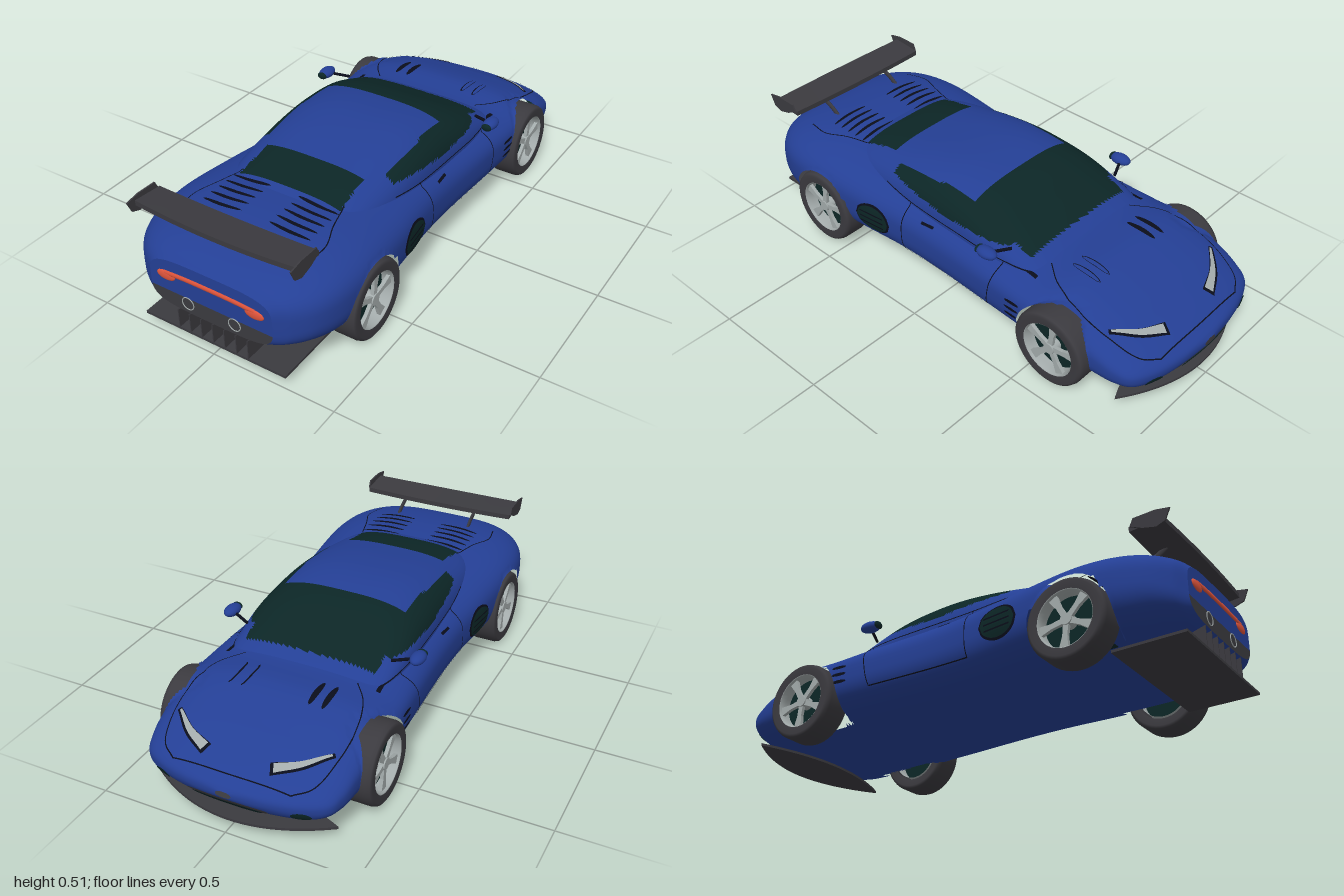
import * as THREE from 'three';

const mat = (name, color, side = THREE.FrontSide) => {
  const m = new THREE.MeshStandardMaterial({ color, side });
  m.name = name;
  return m;
};

// Smooth interpolation through a table of stations whose first column is z
function station(table, z) {
  let i = 0;
  while (i < table.length - 2 && z > table[i + 1][0]) i++;
  const a = table[i], b = table[i + 1], h = b[0] - a[0];
  const t = THREE.MathUtils.clamp((z - a[0]) / h, 0, 1), p = table[i - 1] || a, q = table[i + 2] || b;
  return a.slice(1).map((v, k) => {
    k++;
    const m0 = h * (b[k] - p[k]) / (b[0] - p[0]), m1 = h * (q[k] - a[k]) / (q[0] - a[0]);
    const t2 = t * t, t3 = t2 * t;
    return (2 * t3 - 3 * t2 + 1) * v + (t3 - 2 * t2 + t) * m0 + (3 * t2 - 2 * t3) * b[k] + (t3 - t2) * m1;
  });
}

// z, half width, top, bottom, height of widest point, squareness
const BODY = [
  [-0.998, 0.03, 0.175, 0.15, 0.162, 2.2], [-0.985, 0.15, 0.19, 0.13, 0.16, 2.2],
  [-0.96, 0.26, 0.205, 0.1, 0.16, 2.3], [-0.92, 0.345, 0.228, 0.075, 0.16, 2.4],
  [-0.86, 0.378, 0.258, 0.063, 0.17, 2.6], [-0.78, 0.392, 0.295, 0.06, 0.19, 2.8],
  [-0.6, 0.408, 0.352, 0.06, 0.22, 2.9], [-0.45, 0.408, 0.352, 0.06, 0.23, 2.9],
  [-0.3, 0.4, 0.365, 0.06, 0.23, 2.9], [0, 0.386, 0.385, 0.06, 0.23, 2.8],
  [0.2, 0.39, 0.395, 0.06, 0.24, 2.8], [0.4, 0.41, 0.408, 0.06, 0.25, 2.8],
  [0.6, 0.424, 0.421, 0.06, 0.26, 2.8], [0.72, 0.422, 0.42, 0.062, 0.26, 2.8],
  [0.82, 0.405, 0.408, 0.073, 0.255, 2.9], [0.9, 0.37, 0.39, 0.095, 0.25, 3],
  [0.96, 0.315, 0.365, 0.118, 0.24, 3.4], [0.993, 0.26, 0.338, 0.135, 0.235, 4],
];
const CABIN = [
  [-0.47, 0.29, 0.335, 0.29, 0.3, 3], [-0.4, 0.32, 0.372, 0.29, 0.3, 3], [-0.3, 0.335, 0.42, 0.29, 0.3, 3],
  [-0.2, 0.34, 0.463, 0.29, 0.3, 3], [-0.1, 0.338, 0.489, 0.29, 0.3, 3], [0.05, 0.335, 0.502, 0.29, 0.3, 3],
  [0.2, 0.33, 0.491, 0.29, 0.3, 3], [0.35, 0.32, 0.466, 0.29, 0.3, 3], [0.5, 0.3, 0.437, 0.29, 0.3, 3],
  [0.62, 0.26, 0.405, 0.29, 0.3, 3],
];
const WHEEL_Z = [-0.6, 0.61], WHEEL_Y = 0.155, ARCH = 0.165, SEG = 96;

function section(table, z) {
  const [w, top, bot, mid, n] = station(table, z), pts = [];
  for (let j = 0; j < SEG; j++) {
    const a = (j / SEG) * Math.PI * 2, c = Math.cos(a), s = Math.sin(a);
    const x = w * Math.sign(c) * Math.abs(c) ** (2 / n), y = Math.abs(s) ** (2 / n);
    pts.push([x, s >= 0 ? mid + (top - mid) * y : mid - (mid - bot) * y]);
  }
  return pts;
}

// Loft the sections; pick(centroid) returns a material index, or -1 to leave a hole
function loft(table, zs, pick, tweak = () => {}) {
  const v = [], p = new THREE.Vector3();
  for (const z of zs) for (const [x, y] of section(table, z)) {
    tweak(p.set(x, y, z));
    v.push(p.x, p.y, p.z);
  }
  const faces = [[], []];
  const add = (...t) => {
    const m = [0, 1, 2].map(k => t.reduce((s, i) => s + v[i * 3 + k], 0) / 3), g = pick(...m);
    if (g >= 0) faces[g].push(...t);
  };
  for (let i = 0; i < zs.length - 1; i++) for (let j = 0; j < SEG; j++) {
    const a = i * SEG + j, b = i * SEG + (j + 1) % SEG;
    add(a, b, a + SEG);
    add(b, b + SEG, a + SEG);
  }
  const g = new THREE.BufferGeometry();
  g.setAttribute('position', new THREE.Float32BufferAttribute(v, 3));
  g.setIndex(faces.flat());
  g.computeVertexNormals();
  g.addGroup(0, faces[0].length, 0);
  g.addGroup(faces[0].length, faces[1].length, 1);
  return g;
}

export function createModel() {
  const paint = mat('bluePaint', 0x243f95), glass = mat('darkGlass', 0x0c2626, THREE.DoubleSide);
  const dark = mat('darkGrey', 0x3b3a3f, THREE.DoubleSide), metal = mat('lightMetal', 0xa3abab, THREE.DoubleSide);
  const red = mat('redLamp', 0xe0553c), seam = mat('seamBlack', 0x0a0d1a, THREE.DoubleSide);
  const car = new THREE.Group();
  const add = (name, geo, material, x = 0, y = 0, z = 0, parent = car) => {
    const m = new THREE.Mesh(geo, material);
    m.name = name;
    m.position.set(x, y, z);
    parent.add(m);
    return m;
  };
  const range = (n, f) => Array.from({ length: n + 1 }, (_, i) => f(i / n));

  // Body shell with open wheel arches
  const archDist = (x, y, z) => Math.abs(x) < 0.26 ? 9 : Math.min(...WHEEL_Z.map(c => Math.hypot(z - c, y - WHEEL_Y)));
  const body = add('body', loft(BODY, range(230, t => -0.998 * Math.cos(Math.PI * t) - 0.005 * t),
    (x, y, z) => archDist(x, y, z) < ARCH - 0.001 ? -1 : 0,
    p => {
      const d = archDist(p.x, p.y, p.z);
      if (d < ARCH - 0.01 || d > ARCH + 0.007) return;
      const c = WHEEL_Z[p.z > 0 ? 1 : 0], k = ARCH / d;
      p.z = c + (p.z - c) * k;
      p.y = WHEEL_Y + (p.y - WHEEL_Y) * k;
    }), [paint, paint]);

  // Cabin: windscreen, side windows and rear window
  const isGlass = (x, y, z) => {
    x = Math.abs(x);
    if (z > -0.39 && z < -0.1 && x < 0.27) return 1;
    if (z > 0.37 && z < 0.53 && x < 0.21 + (z - 0.37) * 0.06) return 1;
    return x > 0.255 && z > -0.31 && z < 0.3 && y > 0.383 + Math.max(0, z) * 0.1 && y < 0.47 - Math.max(0, z) * 0.1 ? 1 : 0;
  };
  const cabin = add('cabin', loft(CABIN, range(100, t => -0.47 + 1.09 * t), isGlass), [paint, glass]);

  // Thin patch laid onto the shell along a path; view gives the projection direction
  const ray = new THREE.Raycaster();
  const views = {
    top: (s, a, b) => [[a * s, 2, b], [0, -1, 0]],
    side: (s, a, b) => [[2 * s, b, a], [-s, 0, 0]],
    nose: (s, a, b) => [[a * s, b, -2], [0, 0, 1]],
  };
  function patch(name, view, s, path, half, material, lift = 0.003, across = 1) {
    const curve = new THREE.CatmullRomCurve3(path.map(([a, b]) => new THREE.Vector3(a, b, 0)));
    const n = Math.max(12, Math.ceil(curve.getLength() / 0.012)), v = [], idx = [];
    let last = [0, 0.2, 0];
    for (let i = 0; i <= n; i++) {
      const p = curve.getPointAt(i / n), t = curve.getTangentAt(i / n);
      const h = typeof half === 'function' ? half(i / n) : half;
      for (let j = 0; j <= across; j++) {
        const o = h * (2 * j / across - 1), [from, dir] = views[view](s, p.x - t.y * o, p.y + t.x * o);
        ray.set(new THREE.Vector3(...from), new THREE.Vector3(...dir));
        const hit = ray.intersectObjects([body, cabin])[0];
        if (hit) last = hit.point.addScaledVector(ray.ray.direction, -lift).toArray();
        v.push(...last);
        if (i < n && j < across) {
          const k = i * (across + 1) + j, m = k + across + 1;
          idx.push(k, k + 1, m, k + 1, m + 1, m);
        }
      }
    }
    const g = new THREE.BufferGeometry();
    g.setAttribute('position', new THREE.Float32BufferAttribute(v, 3));
    g.setIndex(idx);
    g.computeVertexNormals();
    add(name, g, material);
  }
  const oval = r => t => r * Math.sqrt(Math.max(0, 1 - (2 * t - 1) ** 2)) + 0.0005;

  // Tail panel: painted above, dark below, with lamps and exhausts
  for (const [name, material, lim] of [['tailPanel', paint, Math.max], ['rearValance', dark, Math.min]])
    add(name, new THREE.ShapeGeometry(new THREE.Shape(section(BODY, 0.993).map(([x, y]) => new THREE.Vector2(x, lim(y, 0.2))))),
      material, 0, 0, 0.993);
  const bar = new THREE.CatmullRomCurve3([[-0.19, 0.277], [-0.1, 0.282], [0.1, 0.282], [0.19, 0.277]].map(([x, y]) => new THREE.Vector3(x, y, 0)));
  add('tailLightBar', new THREE.TubeGeometry(bar, 24, 0.01, 8), red, 0, 0, 0.994).scale.z = 0.5;

  for (const s of [1, -1]) {
    add('tailLamp', new THREE.SphereGeometry(1, 24, 12), red, s * 0.188, 0.265, 0.993).scale.set(0.04, 0.02, 0.007);
    add('exhaust', new THREE.TorusGeometry(0.025, 0.002, 6, 32), metal, s * 0.1, 0.177, 0.994);

    // Doors, handles and side vents
    for (const l of [[[0.17, 0.355], [0.17, 0.15]], [[0.17, 0.15], [-0.28, 0.15]], [[-0.28, 0.15], [-0.31, 0.34]],
      [[0.32, 0.375], [0.17, 0.357], [-0.1, 0.347], [-0.31, 0.34], [-0.45, 0.33]]])
      patch('doorSeam', 'side', s, l, 0.002, seam);
    patch('doorHandle', 'side', s, [[0.085, 0.32], [0.025, 0.322]], 0.004, seam, 0.005);
    patch('sideVentRim', 'side', s, [[0.408, 0.235], [0.236, 0.235]], oval(0.064), seam, 0.002, 8);
    patch('sideVent', 'side', s, [[0.4, 0.235], [0.244, 0.235]], oval(0.056), glass, 0.005, 8);
    for (let k = -1; k <= 1; k++) {
      patch('sideVentSlat', 'side', s, [[0.38, 0.235 + k * 0.024], [0.264, 0.235 + k * 0.024]], 0.003, seam, 0.008);
      patch('fenderSlot', 'side', s, [[-0.38, 0.222 + k * 0.03], [-0.45, 0.225 + k * 0.03]], oval(0.006), seam);
    }

    // Bonnet seams, scoops, headlights and fog lamps
    patch('bonnetSeam', 'top', s, [[0.23, -0.45], [0.29, -0.53], [0.325, -0.64], [0.325, -0.78], [0.29, -0.9], [0.23, -0.945]], 0.002, seam);
    for (const x of [0.135, 0.187]) {
      patch('bonnetScoop', 'top', s, [[x, -0.64], [x - 0.003, -0.51]], oval(0.011), seam, 0.002);
      patch('bonnetScoopLip', 'top', s, [[x + 0.002, -0.637], [x, -0.515]], oval(0.008), paint, 0.004);
    }
    patch('headlightSurround', 'top', s, [[0.125, -0.895], [0.22, -0.85], [0.308, -0.775]], t => 0.022 - 0.014 * t, seam, 0.002, 4);
    patch('headlight', 'top', s, [[0.135, -0.89], [0.22, -0.847], [0.3, -0.78]], t => 0.016 - 0.012 * t, metal, 0.005, 4);
    patch('fogLamp', 'nose', s, [[0.235, 0.133], [0.305, 0.133]], oval(0.018), glass, 0.004, 4);

    // Engine cover louvres and seam
    for (const z of [0.555, 0.6, 0.642, 0.684, 0.726])
      patch('engineLouvre', 'top', s, [[0.06, z], [0.145, z + 0.006], [0.23, z]], oval(0.007), seam);
    patch('engineCoverSeam', 'top', s, [[0.22, 0.51], [0.25, 0.62], [0.285, 0.72], [0.27, 0.82]], 0.002, seam);

    // Mirrors
    const arm = new THREE.LineCurve3(new THREE.Vector3(s * 0.3, 0.385, -0.32), new THREE.Vector3(s * 0.38, 0.396, -0.285));
    add('mirrorArm', new THREE.TubeGeometry(arm, 1, 0.006, 8), seam);
    add('mirrorShell', new THREE.SphereGeometry(1, 24, 16), paint, s * 0.388, 0.398, -0.28).scale.set(0.028, 0.021, 0.045);
    add('mirrorGlass', new THREE.SphereGeometry(1, 20, 12), glass, s * 0.388, 0.398, -0.242).scale.set(0.021, 0.015, 0.01);

    // Wheels
    for (const z of WHEEL_Z) {
      const w = new THREE.Group();
      w.name = 'wheel';
      w.position.set(s * 0.366, WHEEL_Y, z);
      w.rotation.z = -s * Math.PI / 2;
      car.add(w);
      const lathe = pts => new THREE.LatheGeometry(pts.map(p => new THREE.Vector2(...p)), 48);
      add('tyre', lathe([[0.11, -0.055], [0.14, -0.061], [0.15, -0.055], [0.155, -0.04], [0.155, 0.04], [0.15, 0.055], [0.14, 0.061], [0.11, 0.057]]), dark, 0, 0, 0, w);
      add('rim', lathe([[0.112, 0.056], [0.107, 0.055], [0.104, 0.03], [0.102, -0.055]]), metal, 0, 0, 0, w);
      add('brakeDisc', new THREE.CylinderGeometry(0.102, 0.102, 0.01, 40), glass, 0, 0.005, 0, w);
      add('hub', new THREE.CylinderGeometry(0.022, 0.026, 0.045, 20), metal, 0, 0.028, 0, w);
      const spoke = new THREE.ExtrudeGeometry(new THREE.Shape([[-0.011, 0.01], [0.011, 0.01], [0.01, 0.06], [0.018, 0.105], [-0.018, 0.105], [-0.01, 0.06]]
        .map(p => new THREE.Vector2(...p))), { depth: 0.014, bevelEnabled: false }).rotateX(-Math.PI / 2);
      for (let k = 0; k < 5; k++) add('spoke', spoke, metal, 0, 0.032, 0, w).rotation.y = (k * 2 + 0.3) * Math.PI / 5;
    }

    // Wing end plates and struts
    const plate = new THREE.Shape([[0.985, 0.5], [0.93, 0.51], [0.845, 0.507], [0.832, 0.478], [0.88, 0.455], [0.93, 0.442], [0.965, 0.455]]
      .map(([z, y]) => new THREE.Vector2(-z, y)));
    add('wingEndPlate', new THREE.ExtrudeGeometry(plate, { depth: 0.006, bevelEnabled: false }).rotateY(Math.PI / 2), dark, s * 0.338 - 0.003);
    const strut = new THREE.CatmullRomCurve3([[0.395, 0.77], [0.425, 0.81], [0.445, 0.85], [0.468, 0.885]].map(([y, z]) => new THREE.Vector3(0, y, z)));
    add('wingStrut', new THREE.TubeGeometry(strut, 12, 0.012, 8).scale(0.5, 1, 1), dark, s * 0.165);
  }

  // Nose seam and grille
  patch('noseSeam', 'top', 1, [[-0.23, -0.945], [0, -0.95], [0.23, -0.945]], 0.002, seam);
  patch('grilleSurround', 'nose', 1, [[-0.16, 0.122], [0.16, 0.122]], oval(0.022), dark, 0.002, 6);
  patch('grille', 'nose', 1, [[-0.14, 0.12], [0.14, 0.12]], oval(0.016), glass, 0.006, 6);

  // Wing blade, gently bowed
  const blade = new THREE.BoxGeometry(0.67, 0.02, 0.135, 24, 1, 6), p = blade.attributes.position;
  for (let i = 0; i < p.count; i++) {
    const u = (p.getX(i) / 0.335) ** 2, back = p.getZ(i) / 0.135 + 0.5;
    p.setY(i, p.getY(i) + 0.006 * u + 0.012 * (back - 0.5));
    p.setZ(i, p.getZ(i) - 0.012 * u * back);
  }
  blade.computeVertexNormals();
  add('wingBlade', blade, dark, 0, 0.471, 0.893);

  // Rear diffuser floor and fins
  add('diffuserFloor', new THREE.BoxGeometry(0.61, 0.01, 0.28), dark, 0, 0.046, 0.856);
  const fin = new THREE.ExtrudeGeometry(new THREE.Shape([[-0.72, 0.05], [-0.996, 0.13], [-0.996, 0.05]].map(q => new THREE.Vector2(...q))),
    { depth: 0.004, bevelEnabled: false }).rotateY(Math.PI / 2);
  for (let k = -3; k <= 3; k++) add('diffuserFin', fin, dark, k * 0.05 - 0.002);

  // Front splitter, lens-shaped in plan
  const lens = new THREE.Shape();
  lens.moveTo(-0.36, 0.86);
  lens.quadraticCurveTo(0, 1.11, 0.36, 0.86);
  lens.quadraticCurveTo(0, 0.7, -0.36, 0.86);
  add('frontSplitter', new THREE.ExtrudeGeometry(lens, { depth: 0.01, bevelEnabled: false, curveSegments: 24 }).rotateX(-Math.PI / 2), dark, 0, 0.044);
  return car;
}
